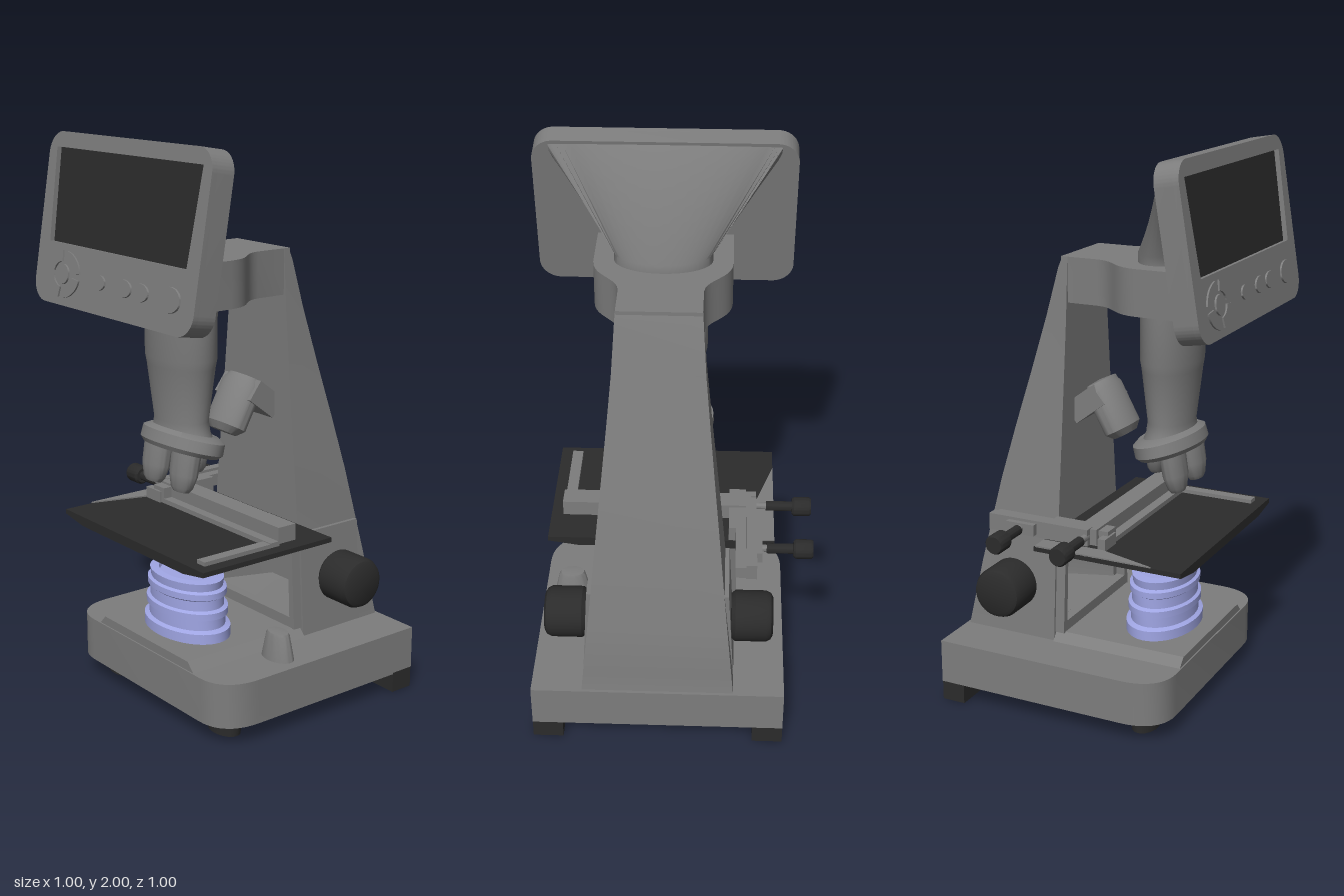
import * as THREE from 'three';
import { toCreasedNormals } from 'three/addons/utils/BufferGeometryUtils.js';

const CX = 0.045; // centre line of the stand
const OVAL = 0.66; // round parts are narrower in depth
const mat = (color) => new THREE.MeshStandardMaterial({ color, side: THREE.DoubleSide });

export function createModel() {
  const model = new THREE.Group();
  const grey = mat(0x7d7d7d), dark = mat(0x2b2b2b), violet = mat(0xa0a6e4);

  const add = (name, geo, material = grey, x = 0, y = 0, z = 0, parent = model, crease = 0.6) => {
    const mesh = new THREE.Mesh(toCreasedNormals(geo, crease), material);
    mesh.name = name;
    mesh.position.set(x, y, z);
    parent.add(mesh);
    return mesh;
  };
  // Box given by its limits
  const box = (name, x0, x1, y0, y1, z0, z1, m = grey) =>
    add(name, new THREE.BoxGeometry(x1 - x0, y1 - y0, z1 - z0), m, (x0 + x1) / 2, (y0 + y1) / 2, (z0 + z1) / 2);
  const polygon = (pts) => new THREE.Shape(pts.map(([x, y]) => new THREE.Vector2(x, y)));
  const extrude = (shape, depth) => new THREE.ExtrudeGeometry(shape, { depth, bevelEnabled: false, curveSegments: 10 });
  // Plan outline drawn as (x, -z), raised upward
  const plan = (shape, height) => extrude(shape, height).rotateX(-Math.PI / 2);
  const lathe = (pts) => new THREE.LatheGeometry(pts.map(([r, y]) => new THREE.Vector2(r, y)), 40);
  const oval = (name, pts, m, x, z) => add(name, lathe(pts).scale(1, 1, OVAL), m, x, 0, z);
  // Skin over a stack of loops with equal point counts, capped at both ends
  const loft = (loops) => {
    const pos = [], n = loops[0].length;
    const tri = (...p) => p.forEach((v) => pos.push(...v));
    for (let i = 0; i < loops.length - 1; i++) {
      for (let j = 0; j < n; j++) {
        const k = (j + 1) % n, a = loops[i], b = loops[i + 1];
        tri(a[j], b[k], a[k]);
        tri(a[j], b[j], b[k]);
      }
    }
    const last = loops[loops.length - 1];
    for (let j = 1; j < n - 1; j++) {
      tri(loops[0][0], loops[0][j], loops[0][j + 1]);
      tri(last[0], last[j + 1], last[j]);
    }
    const g = new THREE.BufferGeometry();
    g.setAttribute('position', new THREE.Float32BufferAttribute(pos, 3));
    g.computeVertexNormals();
    return g;
  };

  // Base with rounded front corners and raised centre
  const foot = new THREE.Shape();
  foot.moveTo(-0.455, 0.5);
  foot.lineTo(-0.455, -0.22);
  foot.bezierCurveTo(-0.455, -0.31, -0.41, -0.37, -0.32, -0.37);
  foot.lineTo(0.32, -0.37);
  foot.bezierCurveTo(0.41, -0.37, 0.455, -0.31, 0.455, -0.22);
  foot.lineTo(0.455, 0.5);
  add('base', plan(foot, 0.16), grey, CX, 0.07, 0);
  add('baseRaisedDeck', extrude(polygon([[-0.29, 0.22], [0.29, 0.22], [0.25, 0.262], [-0.25, 0.262]]), 0.5), grey, CX, 0, -0.135);
  for (const s of [-1, 1]) {
    add('frontFoot', new THREE.CylinderGeometry(0.075, 0.07, 0.075, 24).scale(1, 1, OVAL), dark, CX + s * 0.305, 0.0375, 0.25);
    const x = CX + s * 0.4;
    box('rearFoot', x - 0.055, x + 0.055, 0, 0.075, -0.498, -0.41, dark);
  }

  // Tapering column with a sloped recess in its lower front: y, back z, half width, recess depth
  const levels = [
    [0.2, -0.495, 0.275, 0], [0.3, -0.476, 0.265, 0], [0.301, -0.476, 0.265, 0.2], [0.48, -0.442, 0.247, 0.2],
    [0.6, -0.416, 0.235, 0], [0.8, -0.372, 0.216, 0], [1.0, -0.32, 0.196, 0], [1.2, -0.265, 0.176, 0],
    [1.4, -0.212, 0.157, 0], [1.57, -0.17, 0.146, 0], [1.61, -0.155, 0.143, 0],
  ];
  const F = -0.135;
  add('column', loft(levels.map(([y, b, w, d]) => {
    const half = [[w, b], [w, F], [0.8 * w, F], [d ? 0.14 : 0.52 * w, F - d]];
    return [...half, ...half.slice().reverse().map(([x, z]) => [-x, z])].map(([x, z]) => [x + CX, y, z]);
  })));
  const frame = polygon([[-0.262, 0.26], [0.262, 0.26], [0.24, 0.605], [-0.24, 0.605]]);
  frame.holes.push(polygon([[-0.235, 0.3], [-0.22, 0.595], [0.22, 0.595], [0.235, 0.3]]));
  add('columnFrame', extrude(frame, 0.035), grey, CX, 0, F);

  // Focus knobs and the cheek plates behind them
  for (const s of [-1, 1]) {
    const knob = lathe([[0, 0], [0.08, 0], [0.092, 0.015], [0.092, 0.125], [0.084, 0.142], [0.07, 0.15], [0, 0.15]]);
    add('focusKnob', knob.rotateZ(-s * Math.PI / 2), dark, CX + s * 0.26, 0.43, -0.295);
    const cheek = add('cheekPlate', new THREE.BoxGeometry(0.018, 0.38, 0.27), grey, CX + s * 0.252, 0.42, -0.27);
    cheek.rotation.z = s * 0.06;
  }

  // Arm: narrow neck flaring to a square head behind the display
  const arm = new THREE.Shape();
  arm.moveTo(-0.143, 0.16);
  arm.lineTo(-0.143, 0.02);
  arm.bezierCurveTo(-0.15, -0.06, -0.235, -0.07, -0.24, -0.17);
  arm.lineTo(-0.24, -0.41);
  arm.lineTo(0.24, -0.41);
  arm.lineTo(0.24, -0.17);
  arm.bezierCurveTo(0.235, -0.07, 0.15, -0.06, 0.143, 0.02);
  arm.lineTo(0.143, 0.16);
  add('arm', plan(arm, 0.16), grey, CX, 1.45, 0);

  // Hood from the oval neck up to a wide D-shaped end on the display back
  const ring = (place) => Array.from({ length: 48 }, (_, i) => {
    const a = -i / 48 * Math.PI * 2;
    return place(Math.cos(a), Math.sin(a));
  });
  const neck = (y) => ring((c, s) => [CX + 0.17 * c, y, 0.192 + 0.1 * s]);
  const wideEnd = ring((c, s) => {
    const drop = 0.19 * Math.max(s, 0);
    return [CX + 0.405 * c, 1.98 - drop, 0.328 + 0.17 * drop];
  });
  add('displayHood', loft([neck(1.6), neck(1.64), wideEnd]), grey, 0, 0, 0, model, 1);

  // Tilted display
  const display = new THREE.Group();
  display.name = 'display';
  display.position.set(CX, 1.425, 0.5);
  display.rotation.x = -0.165;
  model.add(display);
  const panel = () => {
    const s = new THREE.Shape(), w = 0.455, h = 0.58, r = 0.075;
    s.absarc(w - r, r, r, -Math.PI / 2, 0);
    s.absarc(w - r, h - r, r, 0, Math.PI / 2);
    s.absarc(-w + r, h - r, r, Math.PI / 2, Math.PI);
    s.absarc(-w + r, r, r, Math.PI, Math.PI * 1.5);
    return s;
  };
  const screenPts = [[-0.39, 0.208], [-0.41, 0.527], [0.41, 0.527], [0.39, 0.208]];
  const bezel = panel();
  bezel.holes.push(polygon(screenPts));
  add('displayBack', extrude(panel(), 0.065), grey, 0, 0, -0.085, display);
  add('displayBezel', extrude(bezel, 0.02), grey, 0, 0, -0.02, display);
  add('screen', new THREE.ShapeGeometry(polygon(screenPts)), dark, 0, 0, -0.017, display);
  const button = (x, rx, ry) =>
    add('button', new THREE.CylinderGeometry(0.95, 1, 0.01, 28).rotateX(Math.PI / 2).scale(rx, ry, 1), grey, x, 0.106, 0.001, display);
  [[-0.28, 0.035, 0.035], [-0.06, 0.033, 0.025], [0.078, 0.045, 0.03], [0.172, 0.045, 0.03], [0.33, 0.055, 0.042]].forEach((b) => button(...b));
  for (let i = 0; i < 4; i++) {
    const seg = new THREE.Shape(), a = i * Math.PI / 2 + 0.15, b = a + Math.PI / 2 - 0.3;
    seg.absarc(0, 0, 0.1, a, b, false);
    seg.absarc(0, 0, 0.055, b, a, true);
    add('dialSegment', extrude(seg, 0.008).scale(1, 0.8, 1), grey, -0.28, 0.106, -0.002, display);
  }

  // Head tube, tilted turret and objectives
  oval('headTube', [[0.157, 1.46], [0.155, 1.26], [0.148, 1.23], [0.118, 1.04], [0.125, 1.0], [0.14, 0.97], [0, 0.97]], grey, CX, 0.2);
  const turret = add('turret', lathe([[0, 0.035], [0.15, 0.035], [0.18, 0.02], [0.182, -0.02], [0.165, -0.035], [0, -0.035]]).scale(1, 1, OVAL), grey, CX, 0.96, 0.195);
  turret.rotation.x = -0.28;
  const lens = [[0, 0], [0.035, 0], [0.048, 0.015], [0.062, 0.06], [0.065, 0.16], [0, 0.16]];
  for (const [x, y, z, tilt] of [[-0.08, 0.805, 0.262, -0.18], [0.08, 0.805, 0.262, -0.18], [0, 0.84, 0.143, 0.06]]) {
    const o = add('objective', lathe(lens).scale(1, 1, OVAL), grey, CX + x, y, z);
    o.rotation.x = tilt;
  }

  // Overhead lamp on its bracket
  const lamp = add('lamp', lathe([[0, -0.11], [0.06, -0.11], [0.09, -0.085], [0.09, 0.07], [0.07, 0.1], [0, 0.105]]).scale(1, 1, OVAL), grey, CX, 1.055, -0.035);
  lamp.rotation.x = -0.5;
  const bracket = add('lampBracket', new THREE.BoxGeometry(0.2, 0.08, 0.13), grey, CX, 1.075, -0.1);
  bracket.rotation.x = -0.65;

  // Stage plate with bevelled underside, and slide mechanism
  const stage = polygon([[-0.3, 0.608], [0.3, 0.608], [0.41, 0.626], [0.41, 0.643], [-0.41, 0.643], [-0.41, 0.626]]);
  add('stage', extrude(stage, 0.555), dark, CX, 0, F);
  add('stageSidePlate', plan(polygon([[-0.365, 0.13], [-0.365, -0.31], [-0.3, -0.1], [-0.3, 0.13]]), 0.006), grey, 0, 0.642, 0);
  box('slideRail', -0.3, -0.262, 0.65, 0.71, -0.35, 0.04);
  box('slideRailRear', -0.262, -0.225, 0.655, 0.7, -0.35, -0.13);
  box('slideRailPad', -0.32, -0.3, 0.66, 0.7, -0.27, -0.16);
  box('slideCarriage', -0.262, -0.2, 0.643, 0.7, -0.13, 0.1);
  box('crossBar', -0.28, 0.41, 0.65, 0.708, -0.01, 0.065);
  box('crossBarBacking', -0.2, 0.41, 0.643, 0.66, 0.06, 0.1);
  box('slideClip', 0.37, 0.41, 0.643, 0.657, 0.06, 0.38);
  box('slideFinger', -0.3, -0.215, 0.643, 0.685, 0.08, 0.108);
  for (const z of [-0.215, 0.03]) {
    const knob = lathe([[0, 0], [0.03, 0], [0.035, 0.008], [0.035, 0.062], [0.028, 0.07], [0.018, 0.07], [0.018, 0.165], [0, 0.165]]);
    add('stageKnob', knob.rotateZ(-Math.PI / 2), dark, -0.5, 0.68, z);
    add('stageKnobShaft', new THREE.CylinderGeometry(0.013, 0.013, 0.06, 16).rotateZ(Math.PI / 2), grey, -0.315, 0.68, z);
  }

  // Ribbed illuminator and side dial on the base
  oval('illuminator', [
    [0.192, 0.255], [0.192, 0.298], [0.17, 0.305], [0.17, 0.342], [0.182, 0.346], [0.182, 0.37], [0.165, 0.376], [0.165, 0.412],
    [0.176, 0.418], [0.176, 0.44], [0.16, 0.446], [0.165, 0.475], [0.125, 0.478], [0.12, 0.465], [0, 0.465],
  ], violet, CX, 0.18);
  oval('brightnessDial', [[0.07, 0.225], [0.05, 0.315], [0.044, 0.325], [0, 0.328]], grey, 0.395, 0.05);

  return model;
}
